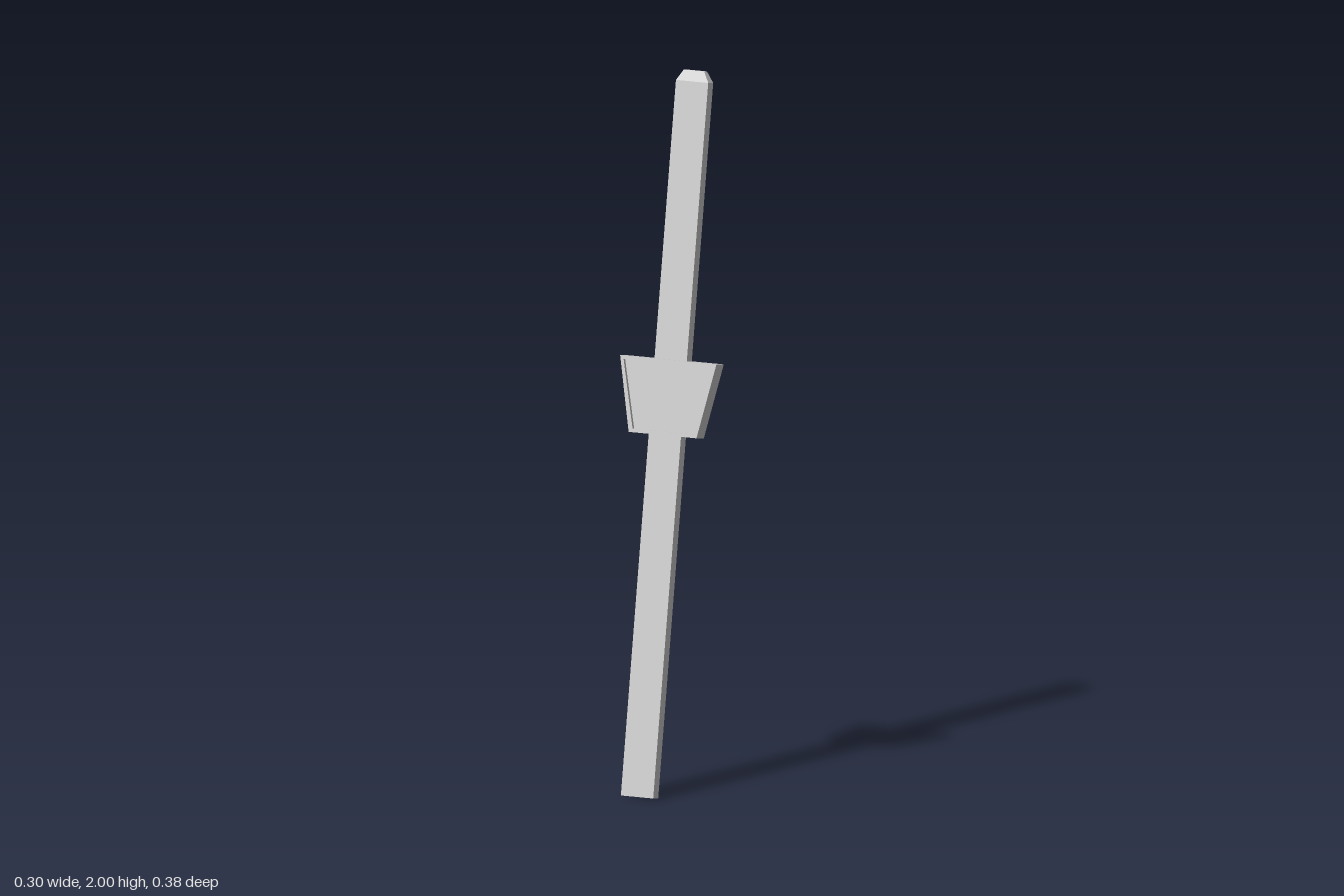
import * as THREE from 'three';

const material = new THREE.MeshStandardMaterial({ color: 0xcccccc, flatShading: true });

// Symmetric four-sided outline, wider at the top, optionally shrunk by an inset
function trapezoid(PathType, inset = 0) {
  const low = 0.105 - inset * 1.15, high = 0.149 - inset * 1.15;
  const y0 = -0.003 + inset, y1 = 0.207 - inset;
  const path = new PathType();
  path.moveTo(-low, y0);
  path.lineTo(low, y0);
  path.lineTo(high, y1);
  path.lineTo(-high, y1);
  path.closePath();
  return path;
}

function addMesh(parent, name, geometry) {
  const mesh = new THREE.Mesh(geometry, material);
  mesh.name = name;
  parent.add(mesh);
  return mesh;
}

export function createModel() {
  const model = new THREE.Group();
  model.name = 'leaningPost';

  // Everything leans back by ten degrees about the middle of the post
  const leaning = new THREE.Group();
  leaning.name = 'leaningParts';
  leaning.position.y = 1;
  leaning.rotation.x = THREE.MathUtils.degToRad(-10);
  model.add(leaning);

  // Flat post whose last short section tapers on all four sides
  const bottom = -1.012, shoulder = 0.983, top = 1.0137;
  const postGeometry = new THREE.BoxGeometry(0.1, 2, 0.032, 1, 2, 1);
  const p = postGeometry.attributes.position;
  for (let i = 0; i < p.count; i++) {
    const y = p.getY(i);
    if (y > 0.5) {
      p.setXYZ(i, p.getX(i) * 0.63, top, p.getZ(i) * 0.56);
    } else {
      p.setY(i, y < -0.5 ? bottom : shoulder);
    }
  }
  postGeometry.computeVertexNormals();
  addMesh(leaning, 'post', postGeometry);

  // Cross block, its back flush with the post
  const back = -0.0162, front = 0.031, recess = 0.01;
  const blockDepth = front - recess - back;
  addMesh(leaning, 'crossBlock', new THREE.ExtrudeGeometry(trapezoid(THREE.Shape), {
    depth: blockDepth, bevelEnabled: false,
  })).position.z = back;

  // Thin raised rim around the recessed front panel
  const rimShape = trapezoid(THREE.Shape);
  rimShape.holes.push(trapezoid(THREE.Path, 0.01));
  addMesh(leaning, 'panelRim', new THREE.ExtrudeGeometry(rimShape, {
    depth: recess, bevelEnabled: false,
  })).position.z = front - recess;

  return model;
}
